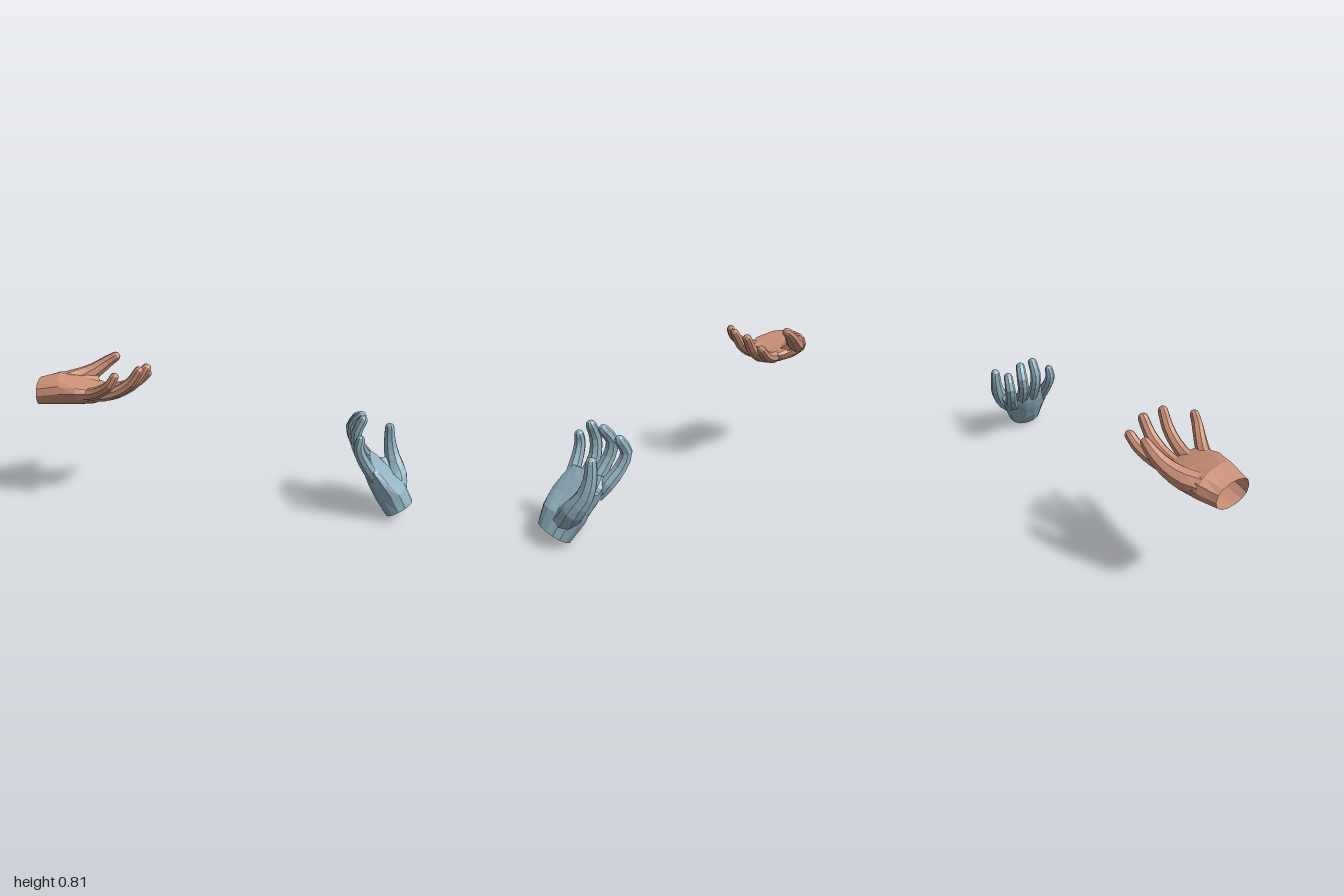
import * as THREE from 'three';

const V = (p) => new THREE.Vector3(...p);

// Skin through equal-sized rings of points, fanned shut at the end
// and, unless open, at the start
function loft(rings, startPoint, endPoint, open = false) {
  const n = rings[0].length, pos = [], idx = [];
  rings.flat().forEach((p) => pos.push(p.x, p.y, p.z));
  const first = n * rings.length, last = first + 1, top = n * (rings.length - 1);
  pos.push(startPoint.x, startPoint.y, startPoint.z, endPoint.x, endPoint.y, endPoint.z);
  for (let i = 0; i < n; i++) {
    const j = (i + 1) % n;
    if (!open) idx.push(first, j, i);
    idx.push(last, top + i, top + j);
    for (let r = 0; r < rings.length - 1; r++) {
      const a = r * n + i, b = r * n + j;
      idx.push(a, b, b + n, a, b + n, a + n);
    }
  }
  // Turn the faces outward, whichever hand it is
  const at = (k) => new THREE.Vector3().fromArray(pos, 3 * k).sub(startPoint);
  let volume = 0;
  for (let k = 0; k < idx.length; k += 3) {
    volume += at(idx[k]).dot(at(idx[k + 1]).cross(at(idx[k + 2])));
  }
  if (volume < 0) idx.reverse();
  const g = new THREE.BufferGeometry();
  g.setAttribute('position', new THREE.Float32BufferAttribute(pos, 3));
  g.setIndex(idx);
  g.computeVertexNormals();
  return g;
}

// Palm or web: sections of centre, half width toward the thumb, half thickness
// toward the palm side, and how far the edges cup upward
function sectionGeometry(sections, open) {
  const rings = sections.map(([c, across, up, cup]) => {
    const ring = [];
    for (let i = 0; i < 14; i++) {
      const t = (i / 14) * Math.PI * 2;
      const u = Math.cos(t);
      const s = Math.sign(Math.sin(t)) * Math.abs(Math.sin(t)) ** 0.85;
      ring.push(V(c).addScaledVector(V(across), u).addScaledVector(V(up), s + cup * u * u));
    }
    return ring;
  });
  return loft(rings, V(sections[0][0]), V(sections[sections.length - 1][0]), open);
}

// Finger: tapering eight-sided sweep with a rounded tip
function fingerGeometry(points, radii, side) {
  const curve = new THREE.CatmullRomCurve3(points.map(V), false, 'centripetal');
  const rings = [];
  const last = points.length - 1;
  const addRing = (c, tangent, r) => {
    const b = side.clone().addScaledVector(tangent, -side.dot(tangent)).normalize();
    const n = tangent.clone().cross(b);
    rings.push(Array.from({ length: 8 }, (_, i) => {
      const a = ((i + 0.5) / 8) * Math.PI * 2;
      return c.clone().addScaledVector(b, r * Math.cos(a)).addScaledVector(n, r * Math.sin(a));
    }));
  };
  for (let i = 0; i <= 8; i++) {
    const t = i / 8, f = t * last, k = Math.min(Math.floor(f), last - 1);
    addRing(curve.getPoint(t), curve.getTangent(t), THREE.MathUtils.lerp(radii[k], radii[k + 1], f - k));
  }
  const tip = curve.getPoint(1), dir = curve.getTangent(1), r = radii[last];
  for (const [along, width] of [[0.5, 0.86], [0.85, 0.52]]) {
    addRing(tip.clone().addScaledVector(dir, r * along), dir, r * width);
  }
  return loft(rings, curve.getPoint(0), tip.clone().addScaledVector(dir, r));
}

const RADII = {
  thumb: [0.058, 0.056, 0.044, 0.034, 0.027],
  indexFinger: [0.03, 0.037, 0.033, 0.03, 0.026],
  middleFinger: [0.03, 0.037, 0.033, 0.031, 0.027],
  ringFinger: [0.03, 0.036, 0.032, 0.03, 0.026],
  littleFinger: [0.03, 0.035, 0.031, 0.028, 0.024],
};

function makeHand(name, color, { palm, thumbWeb, fingers }) {
  const hand = new THREE.Group();
  hand.name = name;
  const material = new THREE.MeshStandardMaterial({ color, flatShading: true, side: THREE.DoubleSide });
  const add = (part, geometry) => {
    const mesh = new THREE.Mesh(geometry, material);
    mesh.name = part;
    hand.add(mesh);
  };
  add('palm', sectionGeometry(palm, true)); // hollow at the wrist
  add('thumbWeb', sectionGeometry(thumbWeb, false));
  const side = V(palm[2][1]).normalize();
  for (const [part, points] of Object.entries(fingers)) {
    add(part, fingerGeometry(points, RADII[part], side));
  }
  return hand;
}

// Hand lying palm up, fingers toward +x
const LYING = {
  palm: [
    [[-0.985, 0.643, -0.177], [0.015, 0, -0.102], [0, 0.071, 0], 0],
    [[-0.88, 0.654, -0.173], [0, 0, -0.133], [0, 0.081, 0], 0.08],
    [[-0.78, 0.637, -0.163], [0.01, 0, -0.153], [0, 0.067, 0], 0.45],
    [[-0.69, 0.624, -0.142], [0.03, -0.01, -0.132], [0, 0.048, 0], 0.6],
    [[-0.635, 0.623, -0.135], [0.03, -0.012, -0.105], [0, 0.026, 0], 0.9],
  ],
  thumbWeb: [
    [[-0.8, 0.655, -0.24], [-0.02, 0.02, -0.04], [0, 0.045, 0.02], 0],
    [[-0.735, 0.66, -0.25], [-0.02, 0.03, -0.045], [0, 0.035, 0.02], 0],
    [[-0.675, 0.665, -0.255], [-0.01, 0.03, -0.045], [0, 0.015, 0.01], 0],
  ],
  fingers: {
    thumb: [[-0.89, 0.66, -0.235], [-0.79, 0.675, -0.275], [-0.7, 0.71, -0.298], [-0.63, 0.755, -0.307], [-0.582, 0.785, -0.302]],
    indexFinger: [[-0.7, 0.63, -0.2], [-0.62, 0.625, -0.207], [-0.53, 0.64, -0.214], [-0.46, 0.67, -0.218], [-0.412, 0.708, -0.218]],
    middleFinger: [[-0.7, 0.625, -0.155], [-0.62, 0.62, -0.147], [-0.54, 0.645, -0.139], [-0.465, 0.695, -0.133], [-0.415, 0.762, -0.128]],
    ringFinger: [[-0.73, 0.635, -0.105], [-0.65, 0.635, -0.085], [-0.57, 0.66, -0.064], [-0.5, 0.71, -0.045], [-0.455, 0.777, -0.031]],
    littleFinger: [[-0.77, 0.645, -0.06], [-0.71, 0.657, -0.03], [-0.65, 0.69, 0.015], [-0.605, 0.73, 0.048], [-0.58, 0.773, 0.054]],
  },
};

// Hand held upright, palm toward +x
const RAISED = {
  palm: [
    [[0.92, 0.046, 0.245], [0.034, -0.019, -0.093], [0.067, 0.041, 0.008], 0],
    [[0.873, 0.13, 0.212], [0.034, -0.01, -0.118], [0.074, 0.042, 0.018], 0.08],
    [[0.815, 0.2, 0.185], [0.04, 0, -0.134], [0.056, 0.03, 0.015], 0.38],
    [[0.772, 0.262, 0.16], [0.035, 0, -0.136], [0.04, 0.021, 0.01], 0.42],
    [[0.742, 0.308, 0.148], [0.025, -0.005, -0.11], [0.022, 0.012, 0.006], 0.6],
  ],
  thumbWeb: [
    [[0.885, 0.16, 0.125], [0.05, 0, 0.005], [0.015, 0.01, 0.05], 0],
    [[0.865, 0.215, 0.085], [0.055, 0, 0.01], [0.01, 0.01, 0.036], 0],
    [[0.85, 0.262, 0.048], [0.055, 0.005, 0.01], [0.005, 0.01, 0.016], 0],
  ],
  fingers: {
    thumb: [[0.92, 0.12, 0.18], [0.938, 0.19, 0.11], [0.922, 0.27, 0.053], [0.91, 0.35, 0.03], [0.905, 0.428, 0.025]],
    indexFinger: [[0.805, 0.22, 0.07], [0.775, 0.28, 0.03], [0.725, 0.35, -0.008], [0.702, 0.425, -0.03], [0.731, 0.487, -0.015]],
    middleFinger: [[0.795, 0.235, 0.13], [0.75, 0.3, 0.1], [0.7, 0.385, 0.07], [0.69, 0.465, 0.056], [0.725, 0.522, 0.077]],
    ringFinger: [[0.78, 0.225, 0.19], [0.735, 0.295, 0.17], [0.69, 0.38, 0.155], [0.682, 0.46, 0.156], [0.71, 0.528, 0.159]],
    littleFinger: [[0.78, 0.21, 0.258], [0.735, 0.28, 0.26], [0.686, 0.36, 0.26], [0.668, 0.415, 0.26], [0.675, 0.456, 0.258]],
  },
};

export function createModel() {
  const model = new THREE.Group();
  model.name = 'pairOfHands';
  model.add(makeHand('lyingHand', 0xcc9178, LYING), makeHand('raisedHand', 0x92b2c2, RAISED));
  return model;
}
